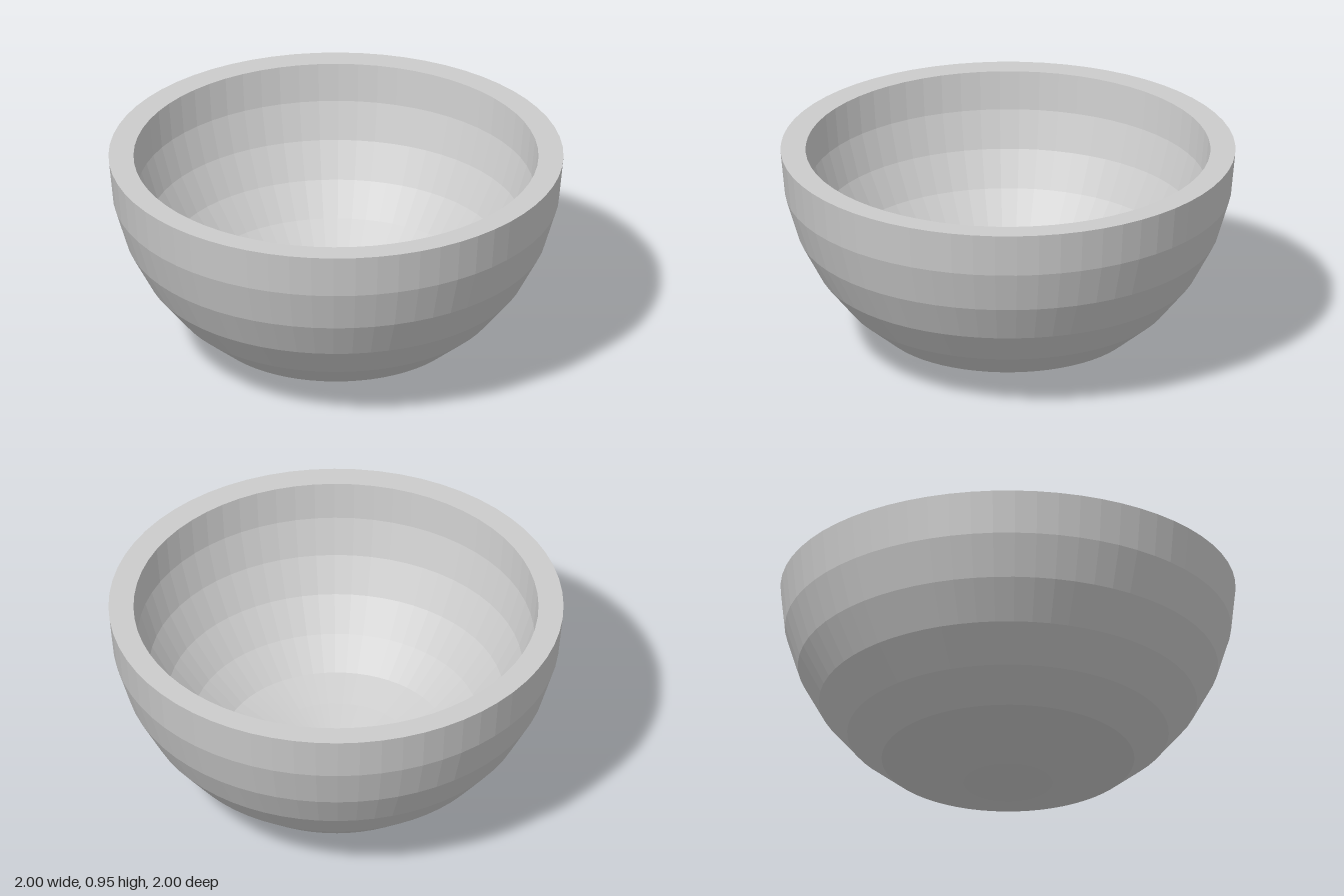
import * as THREE from 'three';

const RIM_Y = 0.955;      // height of the rim, also the sphere centre
const STEP = Math.PI / 16; // angle between rings
const INNER = 0.89;       // inner radius relative to the outer one

// Half-sphere profile from the bottom centre up to the rim, with a flattened base
function bowlProfile() {
  const points = [[0, 0], [Math.cos(7 * STEP), 0.005], [Math.cos(6 * STEP), 0.062]];
  for (let i = 5; i >= 0; i--) {
    points.push([Math.cos(i * STEP), RIM_Y - Math.sin(i * STEP)]);
  }
  return points.map(([r, y]) => new THREE.Vector2(r, y));
}

export function createModel() {
  const group = new THREE.Group();
  group.name = 'bowl';

  // Outer wall going up, then the flat rim and the scaled inner wall going down
  const outer = bowlProfile();
  const inner = outer
    .map((p) => new THREE.Vector2(p.x * INNER, RIM_Y - (RIM_Y - p.y) * INNER))
    .reverse();

  const shell = new THREE.Mesh(
    new THREE.LatheGeometry([...outer, ...inner], 64),
    new THREE.MeshStandardMaterial({ color: 0xcccccc, flatShading: true })
  );
  shell.name = 'bowlShell';
  group.add(shell);
  return group;
}
